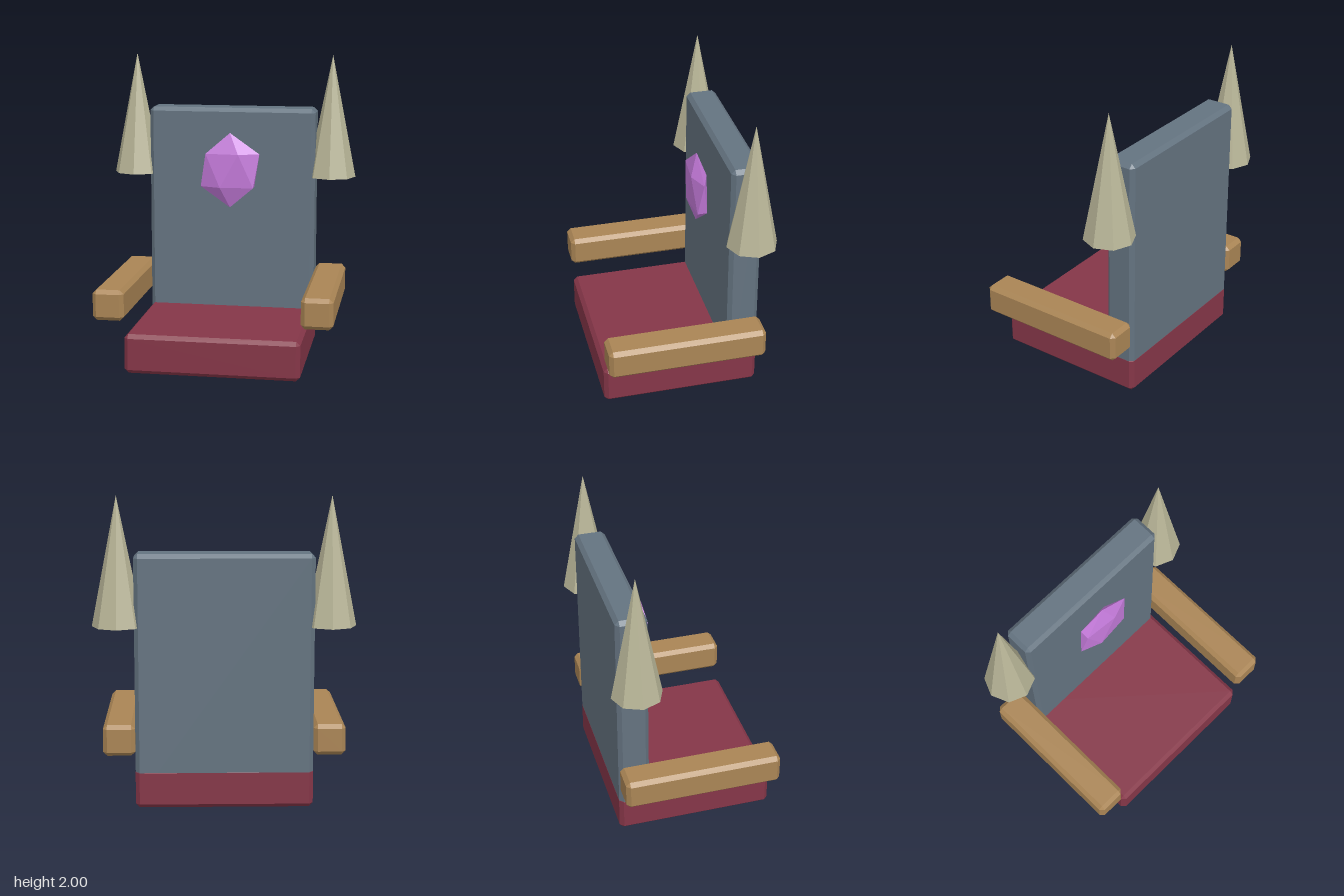
import * as THREE from 'three';
import { ConvexGeometry } from 'three/addons/geometries/ConvexGeometry.js';

const mat = (name, color) => {
  const m = new THREE.MeshStandardMaterial({ color, flatShading: true });
  m.name = name;
  return m;
};

// Box between two corners with every edge cut off at 45 degrees
function chamferBox(min, max, cut) {
  const points = [];
  for (let corner = 0; corner < 8; corner++) {
    for (let axis = 0; axis < 3; axis++) {
      const p = [0, 1, 2].map((i) => {
        const high = (corner >> i) & 1;
        const inset = i === axis ? 0 : cut;
        return high ? max[i] - inset : min[i] + inset;
      });
      points.push(new THREE.Vector3(...p));
    }
  }
  return new ConvexGeometry(points);
}

// Twenty-faced gem with a point at the top and bottom and two rings of five
function gemGeometry(rx, ry, rz) {
  const points = [new THREE.Vector3(0, ry, 0), new THREE.Vector3(0, -ry, 0)];
  const h = 1 / Math.sqrt(5), r = 2 * h;
  for (let i = 0; i < 5; i++) {
    const a = (i * 2 * Math.PI) / 5;
    const x = Math.cos(a) * r * rx, z = Math.sin(a) * r * rz;
    points.push(new THREE.Vector3(x, h * ry, z), new THREE.Vector3(-x, -h * ry, -z));
  }
  return new ConvexGeometry(points);
}

export function createModel() {
  const group = new THREE.Group();
  group.name = 'throne';
  const add = (name, geometry, material) => {
    const mesh = new THREE.Mesh(geometry, material);
    mesh.name = name;
    group.add(mesh);
    return mesh;
  };

  const cushion = mat('crimson', 0x853648);
  const slate = mat('slate', 0x647380);
  const wood = mat('wood', 0xaa8555);
  const bone = mat('bone', 0xb9b698);
  const purple = mat('purple crystal', 0xc47ada);

  // Seat block and tall back, sunk slightly into the seat
  add('seat', chamferBox([-0.57, 0, -0.485], [0.57, 0.26, 0.55], 0.026), cushion);
  add('backrest', chamferBox([-0.569, 0.05, -0.484], [0.569, 1.64, -0.28], 0.026), slate);

  // Armrests and spikes on both sides
  for (const [side, s] of [['left', 1], ['right', -1]]) {
    const x = [s * 0.57, s * 0.775].sort((a, b) => a - b);
    add(side + 'Armrest', chamferBox([x[0], 0.345, -0.485], [x[1], 0.547, 0.55], 0.026), wood);
    const spike = add(side + 'Spike', new THREE.ConeGeometry(0.164, 0.825, 8), bone);
    spike.position.set(s * 0.674, 1.5875, -0.386);
  }

  // Gem in front of the back
  add('gem', gemGeometry(0.225, 0.255, 0.0615), purple).position.set(0, 1.225, -0.208);

  return group;
}
